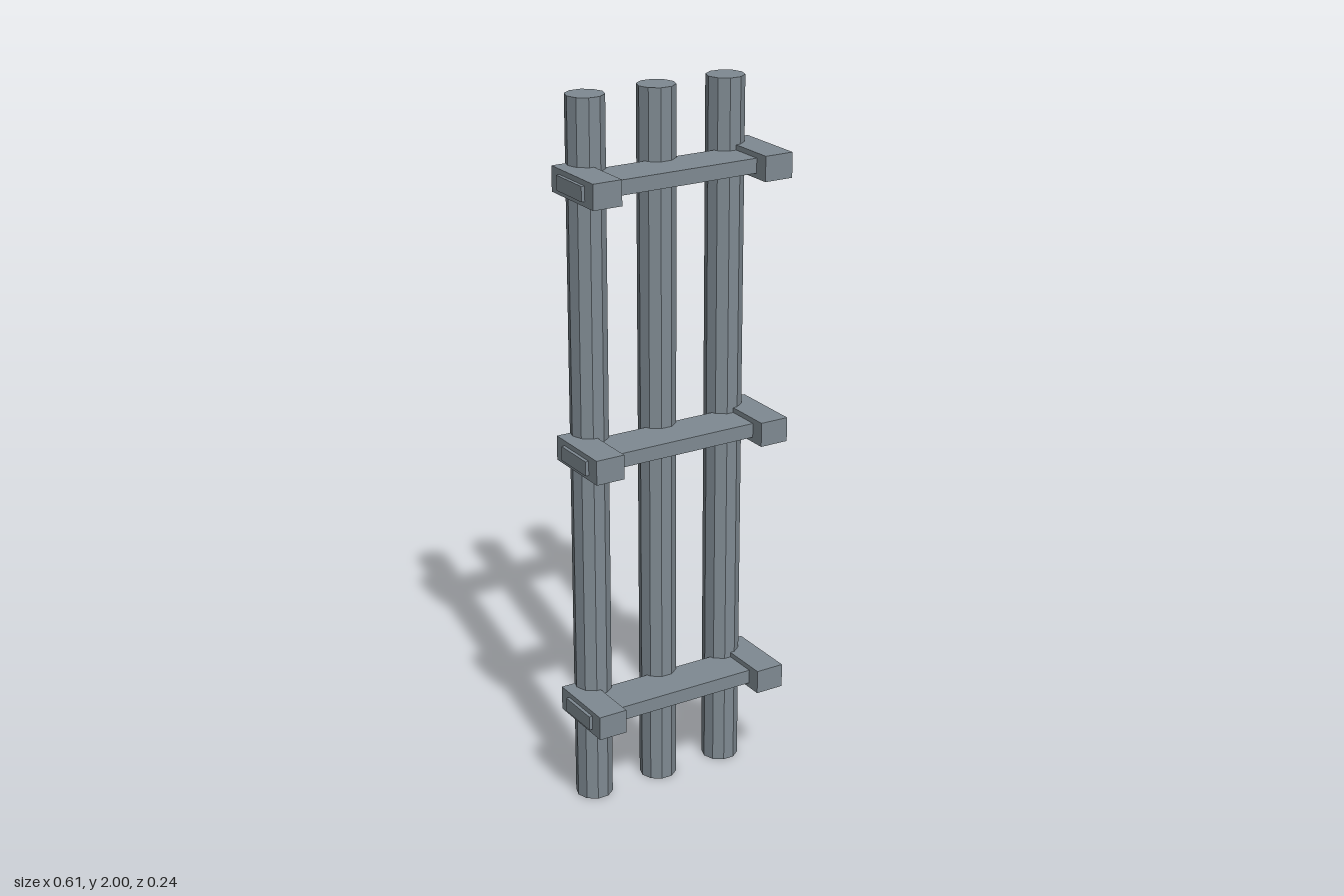
import * as THREE from 'three';

export function createModel() {
  const model = new THREE.Group();
  const steel = new THREE.MeshStandardMaterial({ color: 0x7f8a92, flatShading: true });
  steel.name = 'greySteel';

  const add = (name, geometry, x, y, z) => {
    const mesh = new THREE.Mesh(geometry, steel);
    mesh.name = name;
    mesh.position.set(x, y, z);
    model.add(mesh);
  };

  // Three upright ten-sided pipes, flat facets facing front and back
  const pipe = new THREE.CylinderGeometry(0.052, 0.052, 2, 10, 1, false, Math.PI / 10);
  for (const x of [-0.21, 0, 0.21]) add('pipe', pipe, x, 1, -0.07);

  // Cross bars, each with a bracket at both ends
  const bar = new THREE.BoxGeometry(0.612, 0.04, 0.127);
  const bracket = new THREE.BoxGeometry(0.083, 0.068, 0.21);
  for (const y of [0.308, 1.055, 1.788]) {
    add('crossBar', bar, 0, y, 0.013);
    add('leftBracket', bracket, 0.255, y, 0.013);
    add('rightBracket', bracket, -0.255, y, 0.013);
  }

  return model;
}
